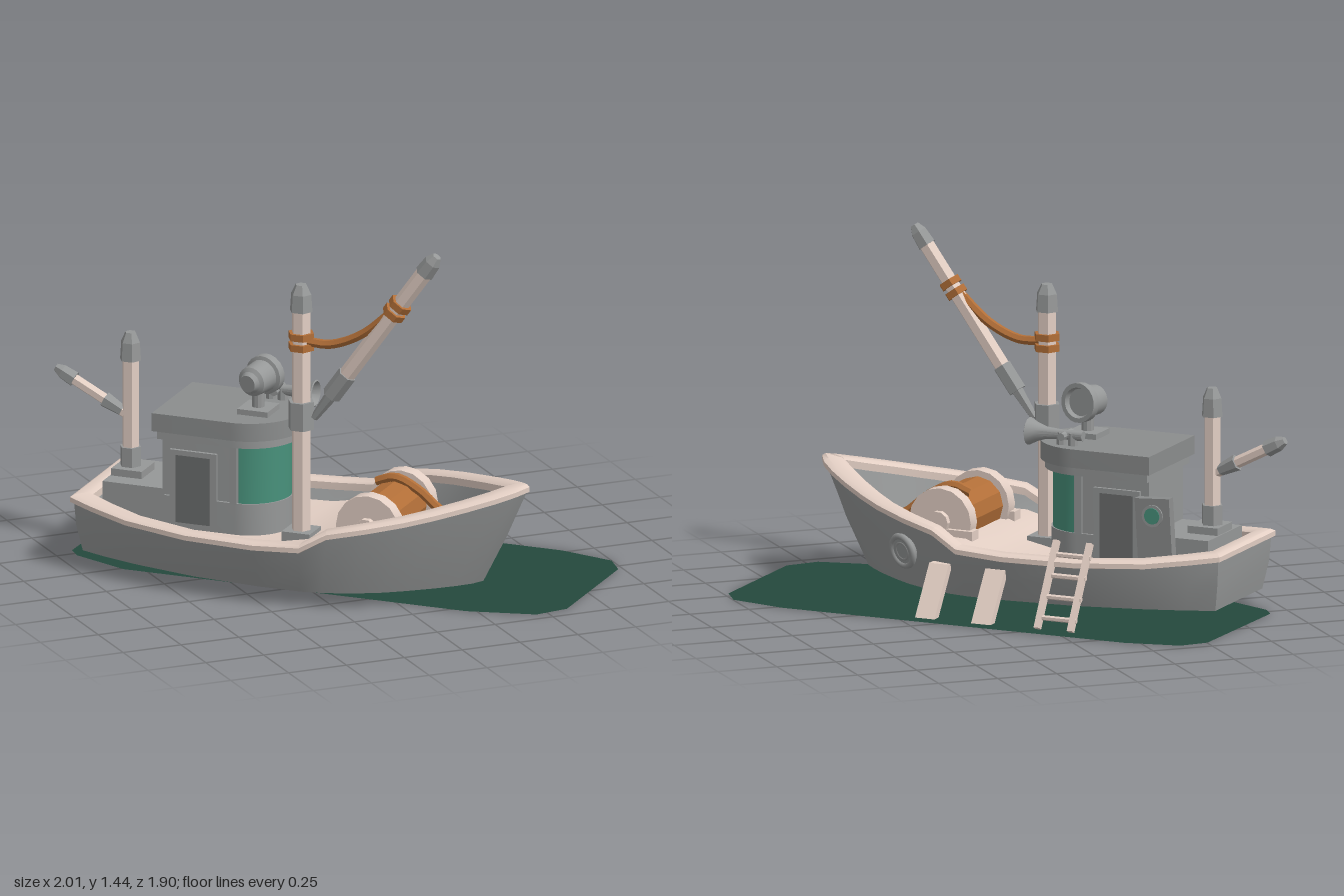
import * as THREE from 'three';
import { toCreasedNormals } from 'three/addons/utils/BufferGeometryUtils.js';

const paint = (name, color, side = THREE.FrontSide) => {
  const m = new THREE.MeshStandardMaterial({ color, side });
  m.name = name;
  return m;
};

export function createModel() {
  const cream = paint('cream wood', 0xe3cfc4);
  const grey = paint('grey metal', 0x969898);
  const roofGrey = paint('roof grey', 0x8b8d8d);
  const dark = paint('dark grey', 0x6c6e6e);
  const rope = paint('rope brown', 0xb26f38);
  const glass = paint('teal glass', 0x48917b, THREE.DoubleSide);
  const water = paint('deep green water', 0x24493d, THREE.DoubleSide);

  const model = new THREE.Group();
  const boat = new THREE.Group();
  boat.name = 'boat';
  boat.rotation.y = Math.PI / 4; // the boat lies diagonally, bow towards local +z
  model.add(boat);

  const CX = -0.2; // centreline of the boat
  const V = (x, y, z) => new THREE.Vector3(x, y, z);
  const add = (name, geo, mat, crease = 0.5) => {
    const mesh = new THREE.Mesh(toCreasedNormals(geo, crease), mat);
    mesh.name = name;
    boat.add(mesh);
    return mesh;
  };
  const box = (name, mat, w, h, d, x, y, z) => {
    const m = add(name, new THREE.BoxGeometry(w, h, d), mat);
    m.position.set(x, y, z);
    return m;
  };
  // Round or many-sided bar from p to q
  const bar = (name, mat, p, q, r0, r1 = r0, sides = 6) => {
    const m = add(name, new THREE.CylinderGeometry(r1, r0, p.distanceTo(q), sides), mat);
    m.position.copy(p).lerp(q, 0.5);
    m.quaternion.setFromUnitVectors(V(0, 1, 0), q.clone().sub(p).normalize());
    return m;
  };

  // Water patch
  const outline = [[0.31, -1.02], [0.405, -0.945], [0.452, -0.72], [0.452, 0.778], [0.403, 1.01], [0.31, 1.075],
    [-0.24, 1.075], [-0.354, 0.99], [-0.417, 0.714], [-0.417, -0.75], [-0.32, -0.986], [-0.265, -1.03]];
  const patch = new THREE.ShapeGeometry(new THREE.Shape(outline.map(([x, z]) => new THREE.Vector2(x, -z))));
  add('waterPatch', patch.rotateX(-Math.PI / 2), water);

  // Hull stations from bow to stern: z, half width, rail height
  const stations = [[0.9, 0, 0.485], [0.865, 0.06, 0.475], [0.8, 0.125, 0.457], [0.71, 0.2, 0.435], [0.6, 0.28, 0.41],
    [0.5, 0.345, 0.39], [0.36, 0.412, 0.365], [0.21, 0.458, 0.338], [0.1, 0.475, 0.275], [-0.1, 0.475, 0.263],
    [-0.4, 0.445, 0.26], [-0.68, 0.375, 0.268], [-0.85, 0.315, 0.287], [-0.96, 0.265, 0.3]];
  // One closed level around the boat; fn maps a station to [z, half width, y]
  const level = (fn) => {
    const port = stations.map((s) => fn(...s));
    const left = port.map(([z, w, y]) => V(CX + Math.max(w, 0), y, z));
    const right = port.slice(1).reverse().map(([z, w, y]) => V(CX - Math.max(w, 0), y, z));
    return [...left, ...right];
  };
  const loft = (levels) => {
    const n = levels[0].length, index = [];
    for (let k = 0; k < levels.length - 1; k++) {
      for (let i = 0; i < n; i++) {
        const a = k * n + i, b = k * n + (i + 1) % n;
        index.push(a, b, b + n, a, b + n, a + n);
      }
    }
    const g = new THREE.BufferGeometry().setFromPoints(levels.flat());
    g.setIndex(index);
    return g;
  };
  const inset = (z, d) => z * (1 - d / 0.93);
  const keelZ = (z) => z * (z > 0 ? 0.78 : 0.96);
  const deckY = (z) => 0.18 + 0.07 * THREE.MathUtils.smoothstep(z, -0.05, 0.22);
  const deckZ = (z) => z * (z > 0 ? 0.85 : 0.91);
  const deckEdge = level((z, w) => [deckZ(z), w - 0.085, deckY(deckZ(z))]);

  add('hull', loft([
    level((z) => [keelZ(z), 0, 0.06]),
    level((z, w) => [keelZ(z), w * 0.84, 0.06]),
    level((z, w, y) => [(keelZ(z) + z) / 2, w * 0.925, 0.06 + (y - 0.06) * 0.46]),
    level((z, w, y) => [inset(z, 0.012), w - 0.014, y - 0.03]),
  ]), grey, 0.6);
  add('bulwarkInside', loft([level((z, w, y) => [inset(z, 0.06), w - 0.06, y - 0.03]), deckEdge]), grey, 0.6);
  add('deck', loft([deckEdge, level((z) => [deckZ(z), 0, deckY(deckZ(z))])]), cream, 0.6);
  add('rail', loft([[0.02, -0.036], [0, -0.03], [0, -0.01], [0.015, 0], [0.055, 0], [0.07, -0.01], [0.07, -0.04]]
    .map(([d, dy]) => level((z, w, y) => [inset(z, d), w - d, y + dy]))), cream, 0.6);

  // Round hull fitting on the left bow
  const port = new THREE.Group();
  port.name = 'hullPorthole';
  port.position.set(0.185, 0.215, 0.37);
  port.rotation.set(0, 1.13, 0);
  port.rotateX(0.2);
  for (const [r, tube] of [[0.062, 0.013], [0.035, 0.007]]) {
    port.add(new THREE.Mesh(new THREE.TorusGeometry(r, tube, 8, 24), grey));
  }
  const lid = new THREE.Mesh(new THREE.CylinderGeometry(0.06, 0.06, 0.04, 24).rotateX(Math.PI / 2), grey);
  lid.position.z = -0.015;
  port.add(lid);
  boat.add(port);

  // Cabin: straight sides with a half-round front
  const cabinX = -0.185, cabinZ = -0.3;
  const prism = (name, mat, r, aft, y0, y1) => {
    const s = new THREE.Shape();
    s.moveTo(cabinX - r, -aft);
    s.lineTo(cabinX + r, -aft);
    s.lineTo(cabinX + r, -cabinZ);
    s.absarc(cabinX, -cabinZ, r, 0, -Math.PI, true);
    const g = new THREE.ExtrudeGeometry(s, { depth: y1 - y0, bevelEnabled: false, curveSegments: 20 });
    add(name, g.rotateX(-Math.PI / 2).translate(0, y0, 0), mat);
  };
  prism('cabinBody', grey, 0.163, -0.61, 0.17, 0.56);
  prism('cabinSill', grey, 0.174, -0.6, 0.17, 0.31);
  prism('roofUnderside', grey, 0.2, -0.62, 0.55, 0.6);
  prism('roof', roofGrey, 0.217, -0.635, 0.585, 0.66);
  const pane = add('cabinWindow', new THREE.CylinderGeometry(0.168, 0.168, 0.245, 24, 1, true, -1.48, 2.96), glass);
  pane.position.set(cabinX, 0.43, cabinZ);
  for (const s of [-1, 1]) {
    box('windowPost', grey, 0.016, 0.25, 0.03, cabinX + s * 0.166, 0.43, cabinZ - 0.005);
    box('doorFrame', grey, 0.02, 0.32, 0.2, cabinX + s * 0.167, 0.345, -0.475);
    box('doorPanel', dark, 0.008, 0.28, 0.145, cabinX + s * 0.176, 0.345, -0.475);
  }

  // Standing hatch plate with a round window
  const hatch = box('hatchPlate', roofGrey, 0.04, 0.3, 0.15, 0.02, 0.345, -0.66);
  hatch.rotation.x = 0.06;
  bar('hatchWindowRim', grey, V(0.03, 0.425, -0.655), V(0.046, 0.425, -0.655), 0.045, 0.045, 20);
  bar('hatchWindow', glass, V(0.04, 0.425, -0.655), V(0.05, 0.425, -0.655), 0.033, 0.033, 20);

  // Aft locker
  box('aftLocker', grey, 0.32, 0.16, 0.27, -0.18, 0.25, -0.735);
  box('aftMastPlate', grey, 0.14, 0.03, 0.13, -0.19, 0.345, -0.8);

  // Tapered end cap for masts and booms
  const cap = (p, dir, r, len) => {
    const at = (t) => p.clone().addScaledVector(dir, len * t);
    bar('endCap', grey, p, at(0.65), r * 1.12, r);
    bar('endCapTip', grey, at(0.65), at(1), r, r * 0.55);
  };
  const up = V(0, 1, 0);

  // Aft mast and its short boom
  bar('aftMast', cream, V(-0.19, 0.34, -0.81), V(-0.19, 0.8, -0.81), 0.035);
  bar('aftMastCollar', grey, V(-0.19, 0.35, -0.81), V(-0.19, 0.44, -0.81), 0.044);
  cap(V(-0.19, 0.8, -0.81), up, 0.04, 0.115);
  const a0 = V(-0.19, 0.575, -0.83), a1 = V(-0.19, 0.725, -1.12);
  const aDir = a1.clone().sub(a0).normalize();
  bar('aftBoom', cream, a0, a1.clone().addScaledVector(aDir, -0.05), 0.024);
  bar('aftBoomSleeve', grey, a0, a0.clone().addScaledVector(aDir, 0.1), 0.022, 0.034);
  cap(a1.clone().addScaledVector(aDir, -0.08), aDir, 0.03, 0.09);

  // Main mast
  const mx = -0.304, mz = -0.035;
  box('mainMastPlate', grey, 0.12, 0.04, 0.12, mx, 0.2, mz);
  bar('mainMast', cream, V(mx, 0.18, mz), V(mx, 1.14, mz), 0.04);
  bar('mainMastCollar', grey, V(mx, 0.64, mz), V(mx, 0.755, mz), 0.054);
  cap(V(mx, 1.13, mz), up, 0.043, 0.11);

  // Main boom leaning over the bow
  const b0 = V(mx, 0.69, 0.02), b1 = V(mx, 1.425, 0.545);
  const bDir = b1.clone().sub(b0).normalize();
  const onBoom = (t) => b0.clone().lerp(b1, t);
  bar('boomHeel', grey, b0, onBoom(0.17), 0.016, 0.028);
  bar('boomSleeve', grey, onBoom(0.14), onBoom(0.27), 0.04);
  bar('mainBoom', cream, onBoom(0.25), onBoom(0.92), 0.034);
  cap(onBoom(0.895), bDir, 0.035, 0.095);

  // Rope windings and the slack line between mast and boom
  for (const dy of [-0.022, 0.022]) {
    bar('mastRopeRing', rope, V(mx, 1.005 + dy - 0.014, mz), V(mx, 1.005 + dy + 0.014, mz), 0.054);
    const c = onBoom(0.675).addScaledVector(bDir, dy);
    bar('boomRopeRing', rope, c.clone().addScaledVector(bDir, -0.014), c.clone().addScaledVector(bDir, 0.014), 0.048);
  }
  const slack = new THREE.CatmullRomCurve3([V(mx, 1.005, mz + 0.03), V(mx, 1.005, 0.09), V(mx, 1.06, 0.22), V(mx, 1.18, 0.36)]);
  add('slackRope', new THREE.TubeGeometry(slack, 14, 0.019, 6), rope, 0.9);

  // Winch with rope drum and trailing rope
  const wx = -0.225, wz = 0.3, wy = 0.3;
  bar('ropeDrum', rope, V(wx - 0.17, wy, wz), V(wx + 0.17, wy, wz), 0.11, 0.11, 12);
  for (const s of [-1, 1]) {
    bar('drumFlange', cream, V(wx + s * 0.15, wy, wz), V(wx + s * 0.21, wy, wz), 0.135, 0.135, 16);
    bar('drumHub', cream, V(wx + s * 0.2, wy, wz), V(wx + s * 0.235, wy, wz), 0.045, 0.045, 10);
    box('winchFoot', cream, 0.06, 0.04, 0.34, wx + s * 0.2, 0.255, wz + 0.02);
  }
  const trail = new THREE.CatmullRomCurve3([V(-0.135, 0.4, 0.22), V(-0.135, 0.425, 0.3), V(-0.13, 0.38, 0.4), V(-0.125, 0.3, 0.5), V(-0.12, 0.27, 0.6)]);
  add('trailingRope', new THREE.TubeGeometry(trail, 14, 0.019, 6), rope, 0.9);

  // Searchlight on the roof
  box('lightBase', grey, 0.13, 0.025, 0.13, -0.225, 0.67, -0.25);
  bar('lightStem', grey, V(-0.225, 0.67, -0.25), V(-0.225, 0.76, -0.25), 0.025, 0.025, 10);
  const lamp = add('searchlight', new THREE.LatheGeometry([[0, -0.08], [0.035, -0.08], [0.045, -0.06], [0.06, -0.05],
    [0.066, 0.03], [0.08, 0.035], [0.08, 0.07], [0.062, 0.07], [0.055, 0.05], [0, 0.05]]
    .map(([x, y]) => new THREE.Vector2(x, y)), 20), grey);
  lamp.position.set(-0.225, 0.8, -0.25);
  lamp.quaternion.setFromUnitVectors(up, V(0.98, 0.06, 0.2).normalize());

  // Horn on the roof
  const horn = add('horn', new THREE.LatheGeometry([[0, 0], [0.02, 0], [0.02, 0.1], [0.025, 0.16], [0.038, 0.2],
    [0.056, 0.235], [0.05, 0.238], [0.02, 0.18], [0, 0.17]].map(([x, y]) => new THREE.Vector2(x, y)), 16), grey);
  horn.position.set(-0.04, 0.7, -0.315);
  horn.rotation.x = Math.PI / 2;
  bar('hornBar', grey, V(-0.09, 0.7, -0.24), V(0.01, 0.7, -0.24), 0.016, 0.016, 8);
  for (const z of [-0.27, -0.22]) bar('hornFoot', grey, V(-0.04, 0.65, z), V(-0.04, 0.71, z), 0.022, 0.022, 8);

  // Boarding ladder on the left side
  for (const z of [-0.31, -0.455]) {
    const rail = bar('ladderRail', cream, V(0.385, 0.005, z), V(0.2, 0.325, z), 0.017, 0.017, 4);
    rail.rotateY(Math.PI / 4);
  }
  for (let i = 0; i < 4; i++) {
    const t = 0.14 + i * 0.24, x = 0.385 - 0.185 * t, y = 0.32 * t;
    bar('ladderRung', cream, V(x, y, -0.47), V(x, y, -0.295), 0.011);
  }

  // Props leaning on the hull
  for (const z of [-0.065, 0.18]) {
    const s = new THREE.Shape([[0.35, 0], [0.39, 0], [0.255, 0.195], [0.215, 0.195]].map(([x, y]) => new THREE.Vector2(x, y)));
    const g = new THREE.ExtrudeGeometry(s, { depth: 0.085, bevelEnabled: false });
    add('hullProp', g.translate(0, 0, z - 0.0425), cream);
  }
  return model;
}
